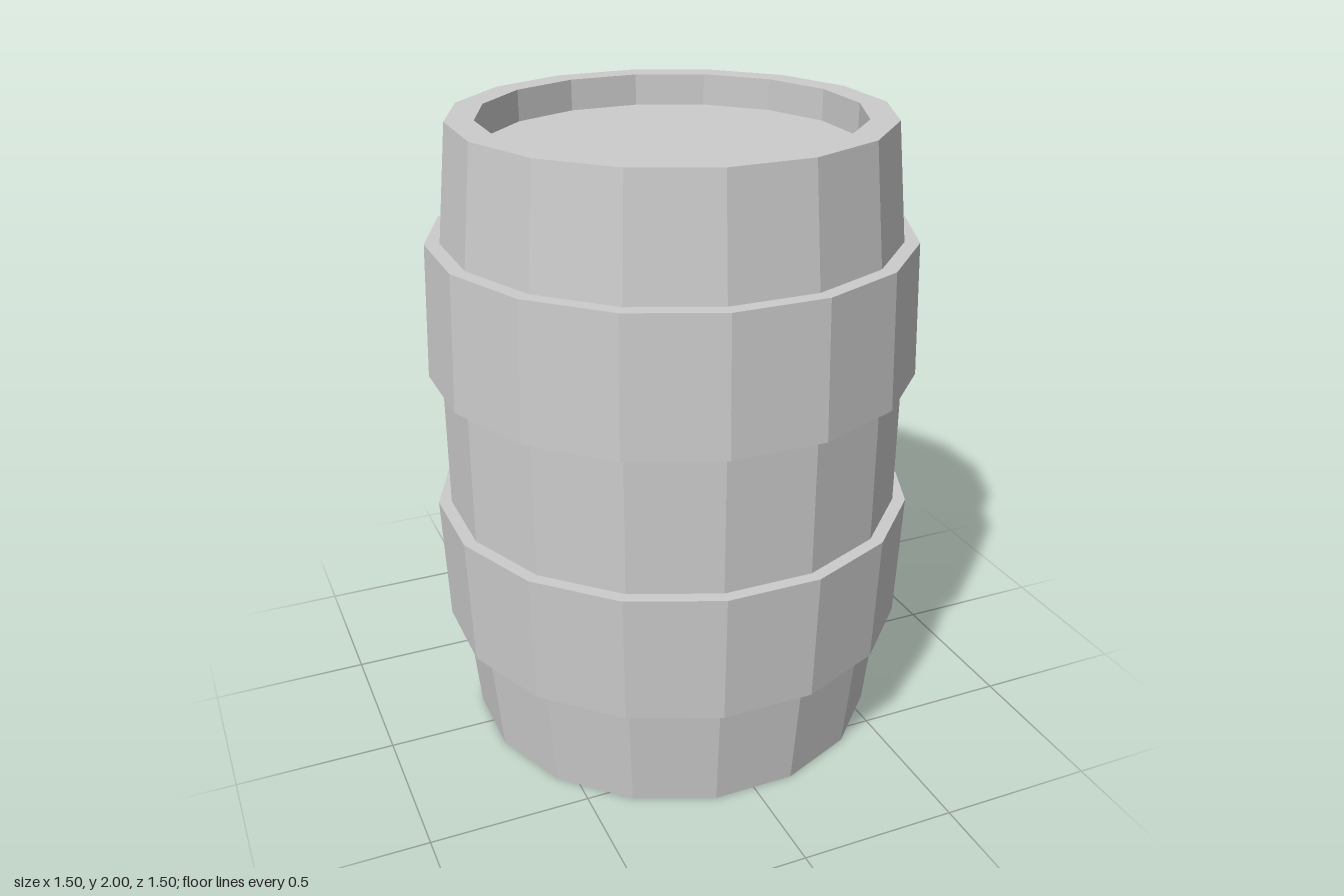
import * as THREE from 'three';

const SIDES = 16;
const TURN = Math.PI / SIDES; // half a side, so flat faces look along x and z
const material = new THREE.MeshStandardMaterial({ color: 0xcccccc, flatShading: true });

function addMesh(group, name, geometry) {
  const flat = geometry.toNonIndexed();
  flat.computeVertexNormals();
  const mesh = new THREE.Mesh(flat, material);
  mesh.name = name;
  group.add(mesh);
  return mesh;
}

// Faceted ring from a profile of [distance to flat face, height]
function facetedRing(profile) {
  const points = profile.map(([d, y]) => new THREE.Vector2(d / Math.cos(TURN), y));
  return new THREE.LatheGeometry(points, SIDES, TURN);
}

export function createModel() {
  const barrel = new THREE.Group();
  barrel.name = 'barrel';

  // Bulging stave wall with a raised rim at both ends
  addMesh(barrel, 'staves', facetedRing([
    [0.57, 0.1], [0.57, 0], [0.655, 0], [0.69, 0.365], [0.71, 0.78],
    [0.71, 1.22], [0.69, 1.635], [0.655, 2], [0.57, 2], [0.57, 1.9],
  ]));

  // Two wide hoops, each widest towards the middle of the barrel
  addMesh(barrel, 'lowerHoop', facetedRing([
    [0.68, 0.365], [0.735, 0.365], [0.75, 0.78], [0.7, 0.78],
  ]));
  addMesh(barrel, 'upperHoop', facetedRing([
    [0.7, 1.22], [0.75, 1.22], [0.735, 1.64], [0.68, 1.64],
  ]));

  // Recessed heads closing both ends
  for (const [name, y, side] of [['topHead', 1.9, -1], ['bottomHead', 0.1, 1]]) {
    const disc = new THREE.CircleGeometry(0.57 / Math.cos(TURN), SIDES, TURN);
    disc.rotateX(side * Math.PI / 2);
    addMesh(barrel, name, disc).position.y = y;
  }

  return barrel;
}
